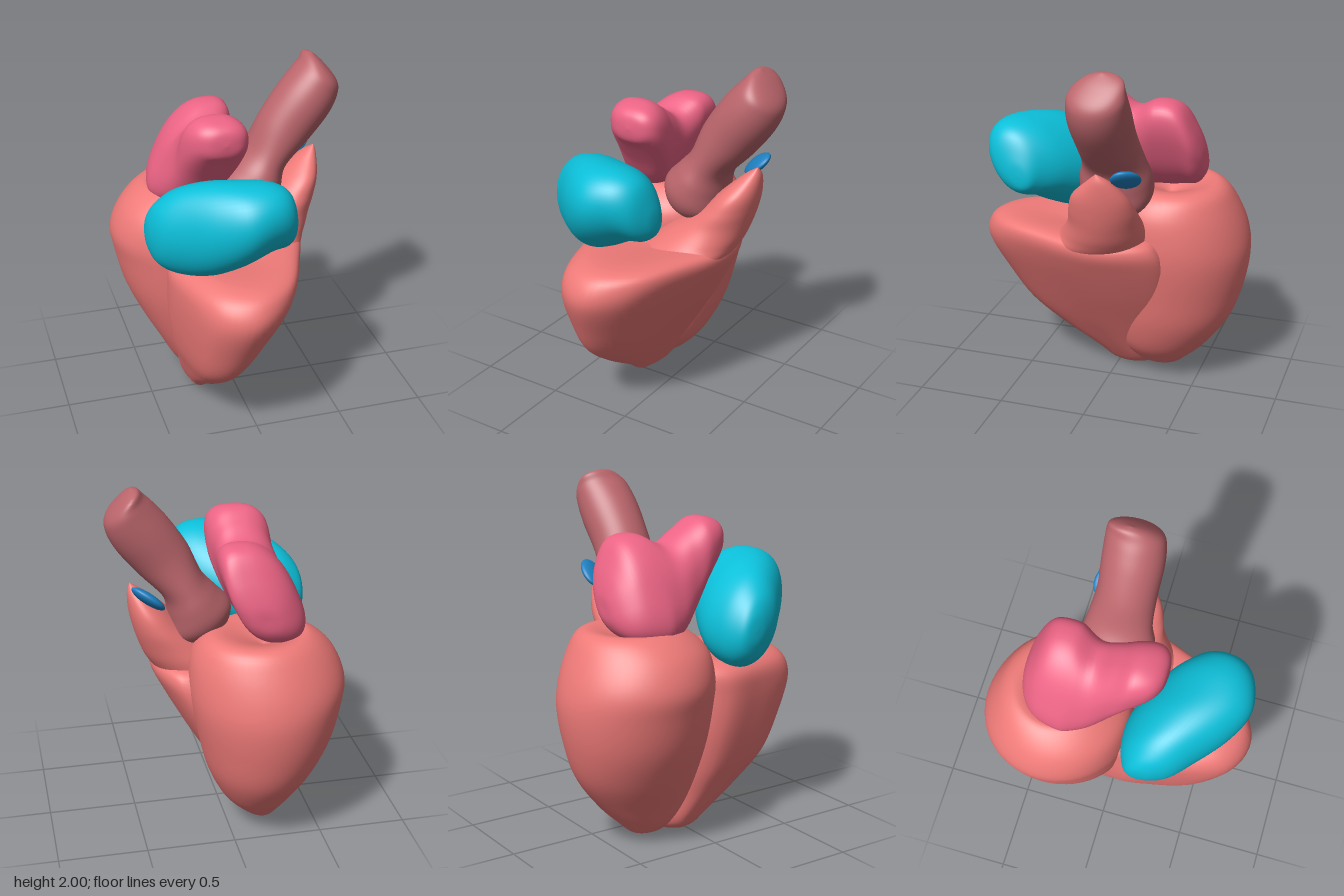
import * as THREE from 'three';
import { mergeVertices } from 'three/addons/utils/BufferGeometryUtils.js';

// Smooth interpolation through a list of number rows, u in 0..1
function sample(rows, u) {
  const last = rows.length - 1;
  const i = Math.min(Math.floor(u * last), last - 1);
  const f = u * last - i;
  const row = k => rows[Math.max(0, Math.min(last, k))];
  return rows[0].map((_, c) => {
    const [p0, p1, p2, p3] = [row(i - 1)[c], row(i)[c], row(i + 1)[c], row(i + 2)[c]];
    const m1 = (p2 - p0) / 2, m2 = (p3 - p1) / 2;
    return p1 + m1 * f + (3 * (p2 - p1) - 2 * m1 - m2) * f * f + (2 * (p1 - p2) + m1 + m2) * f ** 3;
  });
}

const circle = v => [Math.cos(v * 2 * Math.PI), Math.sin(v * 2 * Math.PI)];
const boxy = v => circle(v).map(c => Math.sign(c) * Math.abs(c) ** 0.8);

// Closed smooth body from rows of [t, centreA, centreB, radiusA, radiusB];
// place(t, a, b, db) turns these into x, y, z
function blob(name, color, rows, place, outline = circle) {
  const N = 56, M = 56, pos = [], idx = [];
  for (let i = 0; i <= N; i++) {
    const [t, ca, cb, ra, rb] = sample(rows, i / N);
    for (let j = 0; j < M; j++) {
      const [u, w] = outline(j / M);
      pos.push(...place(t, ca + u * ra, cb + w * rb, w * rb));
    }
  }
  for (let i = 0; i < N; i++) for (let j = 0; j < M; j++) {
    const a = i * M + j, b = i * M + (j + 1) % M, c = a + M, d = b + M;
    idx.push(a, c, b, b, c, d);
  }
  // Turn the faces outward
  let volume = 0;
  const p = k => new THREE.Vector3().fromArray(pos, k * 3);
  for (let k = 0; k < idx.length; k += 3) volume += p(idx[k]).dot(p(idx[k + 1]).cross(p(idx[k + 2])));
  if (volume < 0) idx.reverse();
  let geo = new THREE.BufferGeometry();
  geo.setAttribute('position', new THREE.Float32BufferAttribute(pos, 3));
  geo.setIndex(idx);
  geo = mergeVertices(geo, 1e-5);
  geo.computeVertexNormals();
  const mesh = new THREE.Mesh(geo, new THREE.MeshStandardMaterial({ color }));
  mesh.name = name;
  return mesh;
}

// [y, xMin, xMax, zMin, zMax] to a blob row
const span = ([y, x0, x1, z0, z1]) => [y, (x0 + x1) / 2, (z0 + z1) / 2, (x1 - x0) / 2, (z1 - z0) / 2];
const upright = (y, x, z) => [x, y, z];

export function createModel() {
  const heart = new THREE.Group();
  heart.name = 'heart';
  const RED = 0xee7a78, PINK = 0xec6485, BROWN = 0xbb666c, CYAN = 0x0cc0da, BLUE = 0x1e80c0;

  // Rounded rear chamber with a hollow in its top
  heart.add(blob('rearVentricle', RED, [
    [0.03, -0.2, -0.2, -0.28, -0.28],
    [0.05, -0.27, -0.13, -0.36, -0.16],
    [0.11, -0.32, -0.05, -0.43, -0.08],
    [0.22, -0.38, 0.04, -0.54, 0],
    [0.4, -0.48, 0.12, -0.67, 0.05],
    [0.6, -0.57, 0.17, -0.74, 0.08],
    [0.8, -0.62, 0.21, -0.77, 0.1],
    [0.95, -0.64, 0.22, -0.75, 0.1],
    [1.1, -0.58, 0.2, -0.69, 0.07],
    [1.2, -0.47, 0.13, -0.62, -0.04],
    [1.21, -0.38, 0.02, -0.52, -0.12],
    [1.12, -0.2, -0.2, -0.3, -0.3],
  ].map(span), upright));

  // Wedge-shaped front chamber, blunt at the front, blending back into the rear one
  const wedge = new THREE.CatmullRomCurve3([
    [-1, -0.1], [-0.91, 0.34], [-0.63, 0.84], [-0.1, 1], [0.42, 0.77],
    [0.78, 0.2], [1, -0.32], [0.93, -0.68], [0.62, -1], [-0.5, -0.6],
  ].map(([u, w]) => new THREE.Vector3(u, w, 0)), true);
  heart.add(blob('frontVentricle', RED, [
    [0, -0.2, -0.2, -0.01, -0.01],
    [0.03, -0.26, -0.14, -0.17, 0.06],
    [0.1, -0.3, -0.08, -0.25, 0.15],
    [0.25, -0.34, 0.01, -0.31, 0.38],
    [0.4, -0.38, 0.1, -0.35, 0.56],
    [0.6, -0.41, 0.22, -0.37, 0.68],
    [0.8, -0.42, 0.33, -0.37, 0.77],
    [0.92, -0.41, 0.385, -0.34, 0.745],
    [0.98, -0.34, 0.36, -0.28, 0.66],
    [0.99, -0.25, 0.25, -0.15, 0.5],
    [0.96, 0, 0, 0.2, 0.2],
  ].map(span), upright, v => {
    const q = wedge.getPoint(v);
    return [q.x, q.y];
  }));

  // Pointed outflow rising from the front chamber
  heart.add(blob('outflowPeak', RED, [
    [0.78, 0.1, 0.1, 0, 0],
    [0.82, -0.02, 0.2, -0.18, 0.18],
    [0.9, -0.14, 0.35, -0.26, 0.32],
    [1.0, -0.06, 0.42, -0.27, 0.22],
    [1.1, 0.08, 0.46, -0.26, 0.15],
    [1.2, 0.21, 0.49, -0.25, 0.12],
    [1.3, 0.31, 0.51, -0.22, 0.08],
    [1.4, 0.42, 0.515, -0.15, -0.02],
    [1.455, 0.5, 0.5, -0.08, -0.08],
  ].map(span), upright));

  // Leaning great vessel with a swollen foot, bulging again before its skewed tip
  const dir = new THREE.Vector2(0.43, 0.77).normalize();
  heart.add(blob('greatVessel', BROWN, [
    [-0.02, 0.02, -0.07, 0, 0],
    [0.01, 0.02, -0.07, 0.12, 0.13],
    [0.1, 0.02, -0.08, 0.19, 0.2],
    [0.22, 0.03, -0.085, 0.155, 0.205],
    [0.34, 0.035, -0.09, 0.125, 0.18],
    [0.52, 0.02, -0.08, 0.155, 0.165],
    [0.7, -0.003, -0.08, 0.163, 0.17],
    [0.82, -0.012, -0.085, 0.148, 0.165],
    [0.89, -0.002, -0.095, 0.118, 0.15],
    [0.94, 0.045, -0.12, 0.06, 0.1],
    [0.962, 0.075, -0.11, 0, 0],
  ], (t, a, b) => [0.08 + dir.x * t - dir.y * a, 1.12 + dir.y * t + dir.x * a, b]));

  // Two-lobed rear atrium running front to back, its rear lobe leaning left
  heart.add(blob('rearAtrium', PINK, [
    [0.27, -0.11, 1.66, 0, 0],
    [0.255, -0.11, 1.66, 0.09, 0.07],
    [0.2, -0.12, 1.65, 0.15, 0.12],
    [0.1, -0.14, 1.59, 0.175, 0.19],
    [0, -0.16, 1.49, 0.17, 0.23],
    [-0.12, -0.19, 1.41, 0.18, 0.24],
    [-0.25, -0.19, 1.43, 0.19, 0.28],
    [-0.38, -0.18, 1.43, 0.18, 0.26],
    [-0.46, -0.17, 1.38, 0.15, 0.18],
    [-0.505, -0.17, 1.35, 0.08, 0.08],
    [-0.51, -0.17, 1.35, 0, 0],
  ], (z, x, y, dy) => [x + 0.45 * dy * Math.min(1, Math.max(0, 0.3 - z * 3)), y, z], boxy));

  // Front atrium running across, higher toward the front
  heart.add(blob('frontAtrium', CYAN, [
    [-0.555, 1.2, 0.23, 0, 0],
    [-0.545, 1.2, 0.235, 0.09, 0.07],
    [-0.5, 1.2, 0.265, 0.18, 0.14],
    [-0.4, 1.215, 0.3, 0.25, 0.21],
    [-0.25, 1.245, 0.37, 0.275, 0.28],
    [-0.1, 1.29, 0.44, 0.25, 0.29],
    [0.05, 1.33, 0.48, 0.205, 0.23],
    [0.15, 1.32, 0.5, 0.165, 0.15],
    [0.2, 1.28, 0.48, 0.08, 0.07],
    [0.21, 1.27, 0.47, 0, 0],
  ], (x, y, z, dz) => [x, y + 0.27 * dz, z]));

  // Small leaf-like flap behind the outflow
  const flap = new THREE.Mesh(
    new THREE.SphereGeometry(1, 32, 20),
    new THREE.MeshStandardMaterial({ color: BLUE }));
  flap.name = 'smallFlap';
  flap.scale.set(0.105, 0.03, 0.075);
  flap.rotation.set(0.45, 0, 0.65);
  flap.position.set(0.42, 1.41, -0.22);
  heart.add(flap);

  return heart;
}
